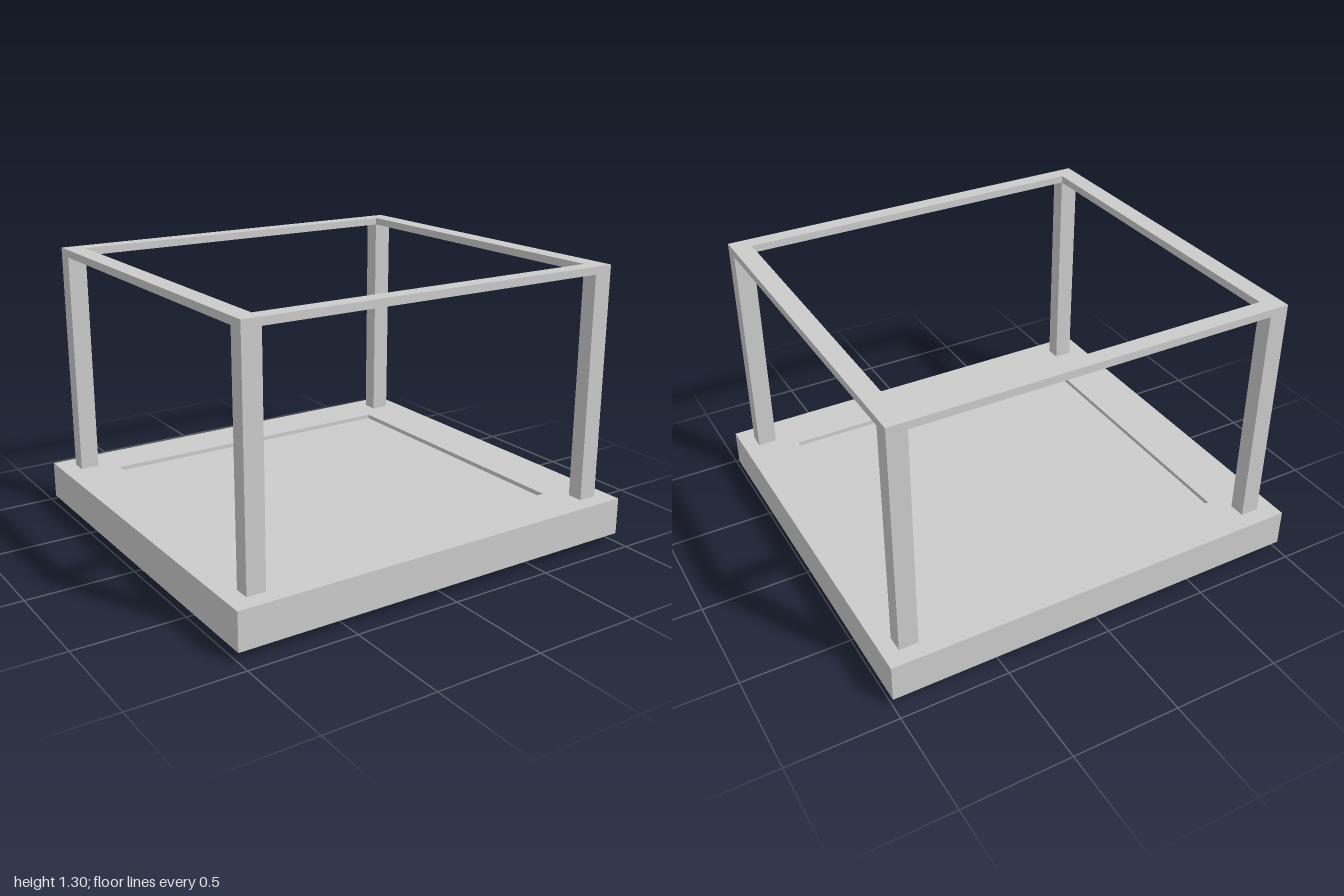
import * as THREE from 'three';

const material = new THREE.MeshStandardMaterial({ color: 0xcccccc, flatShading: true });

// Rectangle [x0, x1, z0, z1] as a closed loop; shape y maps to -z once laid flat
function trace(path, [x0, x1, z0, z1]) {
  path.moveTo(x0, -z1);
  path.lineTo(x1, -z1);
  path.lineTo(x1, -z0);
  path.lineTo(x0, -z0);
  path.closePath();
  return path;
}

// Flat rectangular frame between heights y0 and y1
function frame(name, outer, inner, y0, y1) {
  const shape = trace(new THREE.Shape(), outer);
  shape.holes.push(trace(new THREE.Path(), inner));
  const geometry = new THREE.ExtrudeGeometry(shape, { depth: y1 - y0, bevelEnabled: false });
  geometry.rotateX(-Math.PI / 2).translate(0, y0, 0);
  const mesh = new THREE.Mesh(geometry, material);
  mesh.name = name;
  return mesh;
}

// Box filling a footprint between heights y0 and y1
function block(name, [x0, x1, z0, z1], y0, y1) {
  const mesh = new THREE.Mesh(new THREE.BoxGeometry(x1 - x0, y1 - y0, z1 - z0), material);
  mesh.position.set((x0 + x1) / 2, (y0 + y1) / 2, (z0 + z1) / 2);
  mesh.name = name;
  return mesh;
}

export function createModel() {
  const model = new THREE.Group();
  model.name = 'openFrameStand';

  const panel = [-0.75, 0.75, -0.7, 0.7];
  const outer = [-0.915, 0.928, -0.853, 0.851];
  const inner = [-0.828, 0.84, -0.776, 0.777];

  // Base rim, with a panel that is slightly sunk above and stands out below
  model.add(frame('baseRim', [-1, 1, -0.932, 0.932], panel, 0.042, 0.215));
  model.add(block('basePanel', panel, 0, 0.195));

  // Top rails
  model.add(frame('topFrame', outer, inner, 1.263, 1.298));

  // Corner posts
  const sides = { Right: [outer[0], inner[0]], Left: [inner[1], outer[1]] };
  const ends = { back: [outer[2], inner[2]], front: [inner[3], outer[3]] };
  for (const [end, z] of Object.entries(ends)) {
    for (const [side, x] of Object.entries(sides)) {
      model.add(block(`${end}${side}Post`, [...x, ...z], 0.215, 1.263));
    }
  }
  return model;
}
